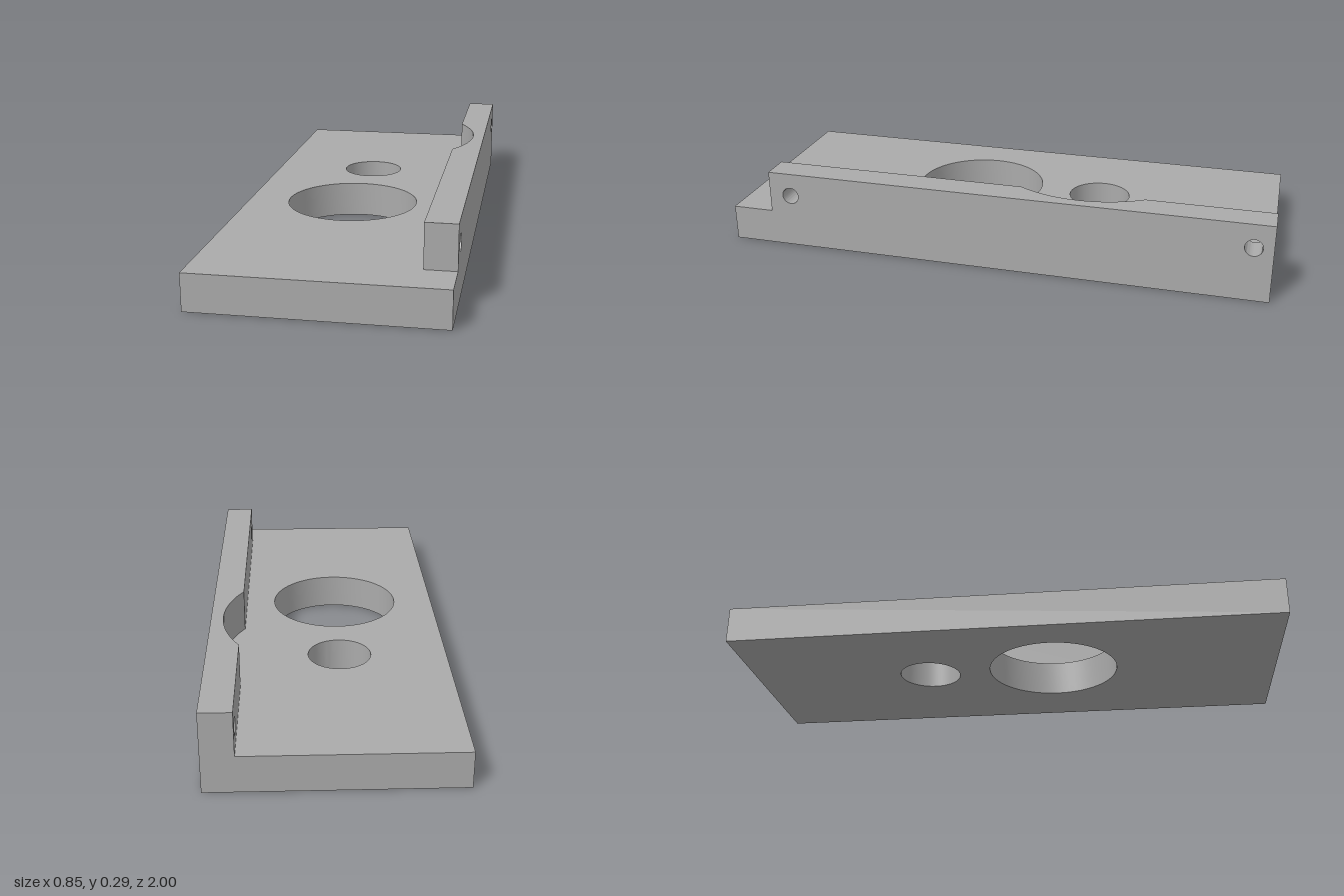
import * as THREE from 'three';
import { toCreasedNormals } from 'three/addons/utils/BufferGeometryUtils.js';

const HALF_W = 0.427, HALF_L = 1, PLATE_H = 0.131, TOP = 0.287;
const RAIL_X = 0.318, RAIL_FRONT = 0.845;
const HOLE_X = -0.035, SMALL_Z = -0.322;

// Rectangle with round holes given as [x, y, radius]
function plateShape(x0, y0, x1, y1, holes) {
  const shape = new THREE.Shape([
    new THREE.Vector2(x0, y0), new THREE.Vector2(x1, y0),
    new THREE.Vector2(x1, y1), new THREE.Vector2(x0, y1),
  ]);
  for (const [x, y, r] of holes) {
    shape.holes.push(new THREE.Path().absarc(x, y, r, 0, Math.PI * 2, true));
  }
  return shape;
}

function extrude(shape, depth) {
  return new THREE.ExtrudeGeometry(shape, { depth, bevelEnabled: false, curveSegments: 32 });
}

export function createModel() {
  const model = new THREE.Group();
  const grey = new THREE.MeshStandardMaterial({ color: 0xaaaaaa });
  grey.name = 'grey metal';

  function add(name, geometry, parent) {
    const mesh = new THREE.Mesh(toCreasedNormals(geometry, 0.45), grey);
    mesh.name = name;
    parent.add(mesh);
  }

  // Base plate with two through holes, extruded upward
  const base = plateShape(-HALF_W, -HALF_L, HALF_W, HALF_L, [
    [HOLE_X, -SMALL_Z, 0.115],
    [HOLE_X, -0.156, 0.243],
  ]);
  add('basePlate', extrude(base, PLATE_H).rotateX(-Math.PI / 2), model);

  const rail = new THREE.Group();
  rail.name = 'sideRail';
  model.add(rail);

  // Rail ends, each with a cross hole, extruded sideways
  const backSeam = -0.7, frontSeam = 0.4;
  const ends = [
    ['railBackEnd', -HALF_L, backSeam, -0.932],
    ['railFrontEnd', frontSeam, RAIL_FRONT, 0.763],
  ];
  for (const [name, z0, z1, holeZ] of ends) {
    const side = plateShape(-z1, PLATE_H, -z0, TOP, [[-holeZ, 0.2, 0.031]]);
    add(name, extrude(side, HALF_W - RAIL_X).rotateY(Math.PI / 2).translate(RAIL_X, 0, 0), rail);
  }

  // Rail middle with a round relief concentric with the small hole
  const reliefR = 0.418;
  const angle = Math.acos((RAIL_X - HOLE_X) / reliefR);
  const middle = new THREE.Shape();
  middle.moveTo(RAIL_X, -frontSeam);
  middle.lineTo(HALF_W, -frontSeam);
  middle.lineTo(HALF_W, -backSeam);
  middle.lineTo(RAIL_X, -backSeam);
  middle.absarc(HOLE_X, -SMALL_Z, reliefR, angle, -angle, true);
  middle.closePath();
  add('railMiddle', extrude(middle, TOP - PLATE_H).rotateX(-Math.PI / 2).translate(0, PLATE_H, 0), rail);

  return model;
}
